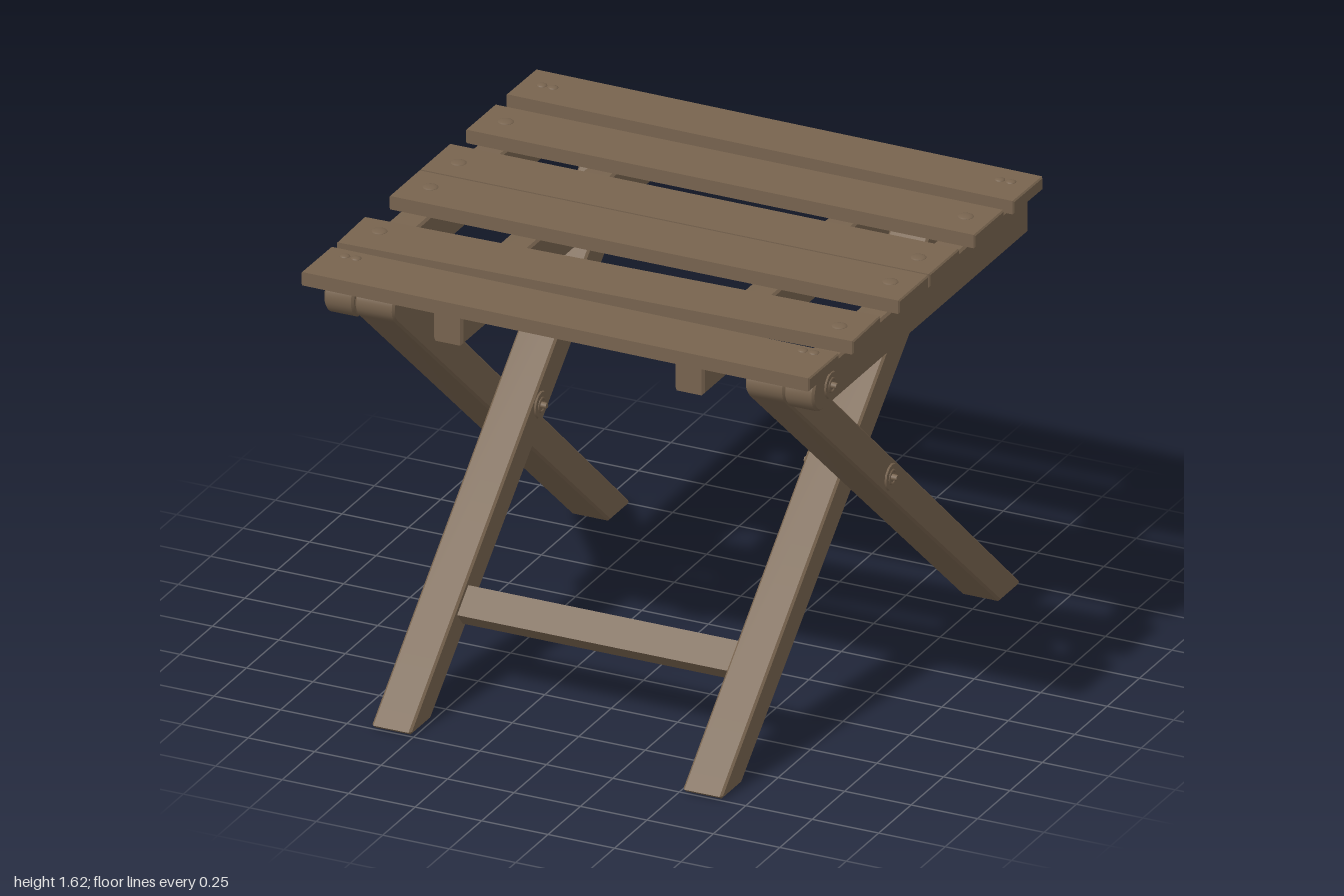
import * as THREE from 'three';
import { toCreasedNormals } from 'three/addons/utils/BufferGeometryUtils.js';

const wood = new THREE.MeshStandardMaterial({ color: 0x78644f });
wood.name = 'brown wood';

function add(parent, name, geometry) {
  const mesh = new THREE.Mesh(geometry, wood);
  mesh.name = name;
  parent.add(mesh);
  return mesh;
}

// Board with chamfered edges: side outline given as [z, y], thickness runs along x
function board(parent, name, outline, thickness, x, bevel = 0.008) {
  const shape = new THREE.Shape(outline.map(([z, y]) => new THREE.Vector2(z, y)));
  const geo = new THREE.ExtrudeGeometry(shape, {
    depth: thickness - 2 * bevel, bevelThickness: bevel, bevelSize: bevel,
    bevelOffset: -bevel, bevelSegments: 1,
  });
  geo.translate(0, 0, -thickness / 2 + bevel);
  geo.rotateY(-Math.PI / 2);
  const mesh = add(parent, name, toCreasedNormals(geo, 0.5));
  mesh.position.x = x;
  return mesh;
}

// Points of a half circle going from angle a0 to a0 + PI
function halfRound(z, y, r, a0, n = 12) {
  return Array.from({ length: n + 1 }, (_, i) => {
    const a = a0 + (Math.PI * i) / n;
    return [z + r * Math.cos(a), y + r * Math.sin(a)];
  });
}

const flipZ = (pts) => pts.map(([z, y]) => [-z, y]);

// Leg with a slanted foot in front and a rounded top at the back
const LEAN = Math.atan(0.88);
const legOutline = [
  [0.845, 0], [0.985, 0], [1.0, 0.012],
  ...halfRound(-0.755, 1.48, 0.068, Math.PI / 2 - LEAN),
];

// Rail with a rounded front end and a square back end
const railOutline = [
  [-0.83, 1.408], ...halfRound(0.755, 1.483, 0.075, -Math.PI / 2), [-0.83, 1.558],
];

// Washer and bolt end, facing along x in direction dir
function boltEnd(parent, x, y, z, dir) {
  const g = new THREE.Group();
  g.name = 'boltEnd';
  const washer = add(g, 'washer', new THREE.CylinderGeometry(0.046, 0.05, 0.008, 12));
  washer.position.y = 0.002;
  const ring = add(g, 'washerRing', new THREE.TorusGeometry(0.024, 0.005, 6, 16));
  ring.rotation.x = Math.PI / 2;
  ring.position.y = 0.005;
  const tip = add(g, 'boltTip', new THREE.CylinderGeometry(0.01, 0.012, 0.026, 12));
  tip.position.y = 0.013;
  g.rotation.z = -dir * Math.PI / 2;
  g.position.set(x, y, z);
  parent.add(g);
}

export function createModel() {
  const stool = new THREE.Group();
  stool.name = 'foldingStool';

  for (const s of [-1, 1]) {
    const side = new THREE.Group();
    side.name = s > 0 ? 'leftFrame' : 'rightFrame';
    stool.add(side);

    // Crossing legs
    board(side, 'innerLeg', legOutline, 0.148, s * 0.585);
    board(side, 'outerLeg', flipZ(legOutline), 0.148, s * 0.734);

    // Seat rails on either side of the legs
    board(side, 'outerRail', railOutline, 0.112, s * 0.866);
    board(side, 'innerRail', flipZ(railOutline), 0.11, s * 0.454);

    // Pivot bolts at the seat and at the crossing
    boltEnd(side, s * 0.922, 1.48, 0.70, s);
    boltEnd(side, s * 0.399, 1.48, -0.70, -s);
    boltEnd(side, s * 0.808, 0.82, 0, s);
    boltEnd(side, s * 0.511, 0.82, 0, -s);
  }

  // Crossbar between the inner legs, tilted with them
  const bar = add(stool, 'crossbar', new THREE.BoxGeometry(1.03, 0.067, 0.115));
  bar.position.set(0, 0.315, 0.575);
  bar.rotation.x = LEAN;

  // Seat slats: centre z, width, slight turn, screw z, paired screws
  const slats = [
    [-0.76, 0.222, -0.010, -0.775, true],
    [-0.453, 0.224, -0.003, -0.46, false],
    [-0.104, 0.228, 0, -0.095, false],
    [0.132, 0.228, 0, 0.122, false],
    [0.52, 0.224, 0.027, 0.515, false],
    [0.818, 0.225, -0.008, 0.745, true],
  ];
  for (const [z, w, turn, screwZ, paired] of slats) {
    const h = w / 2;
    const slat = board(stool, 'seatSlat',
      [[-h, 1.56], [h, 1.56], [h, 1.61], [-h, 1.61]], 1.92, 0, 0.005);
    slat.position.z = z;
    slat.rotation.y = turn;

    // Low domed screw heads
    for (const s of [-1, 1]) {
      for (const x of paired ? [0.84, 0.882] : [0.865]) {
        const r = paired ? 0.019 : 0.029;
        const screw = add(stool, 'screwHead',
          new THREE.SphereGeometry(r, 16, 4, 0, Math.PI * 2, 0, Math.PI / 2));
        screw.scale.y = 0.007 / r;
        screw.position.set(s * x, 1.609, screwZ);
      }
    }
  }
  return stool;
}
